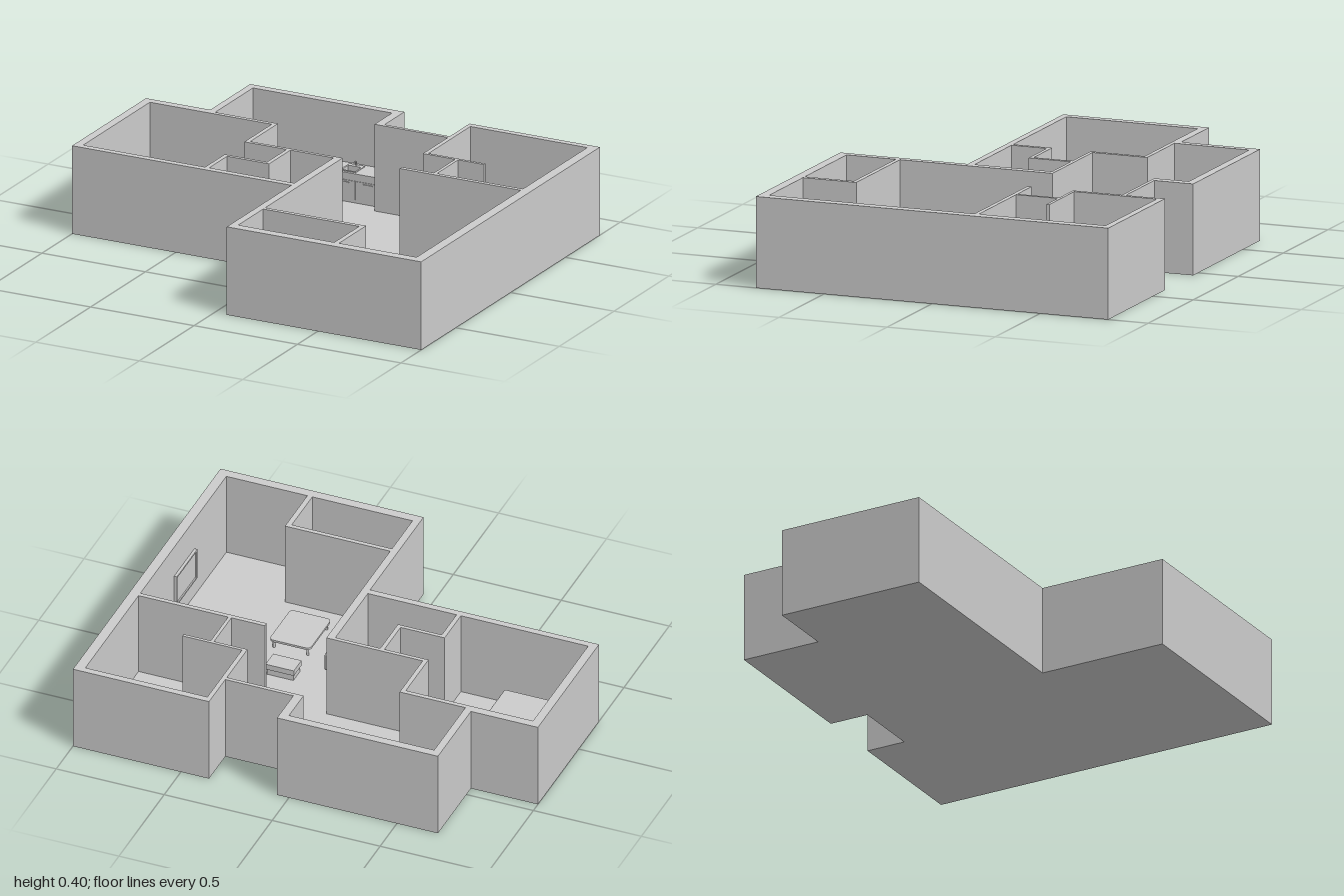
import * as THREE from 'three';
import { RoundedBoxGeometry } from 'three/addons/geometries/RoundedBoxGeometry.js';

const H = 0.4;        // wall height
const FLOOR = 0.006;  // floor thickness

export function createModel() {
  const root = new THREE.Group();
  root.name = 'apartment';
  const mat = new THREE.MeshStandardMaterial({ color: 0xcccccc });

  const group = (name) => {
    const g = new THREE.Group();
    g.name = name;
    root.add(g);
    return g;
  };
  const add = (parent, name, geo) => {
    const m = new THREE.Mesh(geo, mat);
    m.name = name;
    parent.add(m);
    return m;
  };
  // box given by its x, y and z ranges, optionally rounded
  const box = (parent, name, x0, x1, y0, y1, z0, z1, r = 0) => {
    const s = [x1 - x0, y1 - y0, z1 - z0];
    const geo = r ? new RoundedBoxGeometry(...s, 2, r) : new THREE.BoxGeometry(...s);
    const m = add(parent, name, geo);
    m.position.set((x0 + x1) / 2, (y0 + y1) / 2, (z0 + z1) / 2);
    return m;
  };
  // plan outline ([x, z] corners) extruded upwards; holes run the other way round
  const plan = (pts) => pts.map(([x, z]) => new THREE.Vector2(x, -z));
  const framed = (outline, hole) => {
    const shape = new THREE.Shape(plan(outline));
    shape.holes.push(new THREE.Path(plan(hole).reverse()));
    return shape;
  };
  const rise = (shape, depth) =>
    new THREE.ExtrudeGeometry(shape, { depth, bevelEnabled: false, curveSegments: 6 }).rotateX(-Math.PI / 2);

  // floor and outer wall ring
  const outer = [[-0.69, -0.815], [0.055, -0.815], [0.055, -0.635], [0.37, -0.635], [0.37, -0.815], [1, -0.815],
    [1, 0.815], [0.06, 0.815], [0.06, 0.225], [-1, 0.225], [-1, -0.45], [-0.69, -0.45]];
  const inner = [[-0.657, -0.778], [0.015, -0.778], [0.015, -0.618], [0.39, -0.618], [0.39, -0.785], [0.955, -0.785],
    [0.955, 0.772], [0.093, 0.772], [0.093, 0.195], [-0.962, 0.195], [-0.962, -0.413], [-0.657, -0.413]];
  add(root, 'floor', rise(new THREE.Shape(plan(outer)), FLOOR));
  add(root, 'outerWalls', rise(framed(outer, inner), H));

  // inner partitions: x range, z range
  const partitions = group('partitions');
  [
    [-0.657, -0.353, -0.433, -0.413],
    [-0.373, -0.353, -0.413, -0.163],
    [-0.353, 0.093, -0.18, -0.163],
    [0.058, 0.093, -0.163, 0.195],
    [-0.169, -0.15, -0.163, 0.032],
    [-0.373, -0.169, 0.015, 0.032],
    [-0.373, -0.353, 0.032, 0.195],
    [0.093, 0.58, 0.525, 0.545],
    [0.557, 0.58, 0.545, 0.772],
    [0.37, 0.39, -0.618, -0.39],
    [0.39, 0.665, -0.404, -0.39],
    [0.525, 0.54, -0.39, -0.198],
    [0.37, 0.955, -0.198, -0.178],
  ].forEach(([x0, x1, z0, z1], i) => box(partitions, `partition${i + 1}`, x0, x1, FLOOR, H, z0, z1));

  // pillow: a box whose thickness thins out towards its rim
  const pillow = (parent, x0, x1, y, z0, z1) => {
    const geo = new THREE.BoxGeometry(2, 2, 2, 10, 2, 10);
    const p = geo.attributes.position;
    for (let i = 0; i < p.count; i++) {
      const u = p.getX(i), v = p.getZ(i);
      const puff = 0.15 + 0.85 * Math.sqrt((1 - u ** 4) * (1 - v ** 4));
      p.setXYZ(i, u * (0.92 + 0.08 * v * v), p.getY(i) * puff, v * (0.92 + 0.08 * u * u));
    }
    geo.scale((x1 - x0) / 2, 0.014, (z1 - z0) / 2);
    geo.computeVertexNormals();
    add(parent, 'pillow', geo).position.set((x0 + x1) / 2, y, (z0 + z1) / 2);
  };

  // double bed, head against the -x wall
  const doubleBed = group('doubleBed');
  box(doubleBed, 'headboard', -0.962, -0.952, FLOOR, 0.145, -0.13, 0.172);
  box(doubleBed, 'frame', -0.952, -0.585, 0.015, 0.045, -0.128, 0.17);
  box(doubleBed, 'mattress', -0.952, -0.592, 0.045, 0.085, -0.122, 0.165, 0.01);
  box(doubleBed, 'blanket', -0.875, -0.585, 0.035, 0.092, -0.13, 0.172, 0.008);
  box(doubleBed, 'blanketFold', -0.88, -0.83, 0.06, 0.096, -0.138, 0.182, 0.008);
  pillow(doubleBed, -0.955, -0.878, 0.098, -0.107, 0.016);
  pillow(doubleBed, -0.955, -0.878, 0.098, 0.02, 0.143);

  // single bed, head against the back wall
  const singleBed = group('singleBed');
  box(singleBed, 'headboard', 0.412, 0.617, FLOOR, 0.145, -0.785, -0.773);
  box(singleBed, 'frame', 0.425, 0.615, 0.015, 0.045, -0.773, -0.455);
  box(singleBed, 'mattress', 0.427, 0.613, 0.045, 0.085, -0.773, -0.46, 0.01);
  box(singleBed, 'blanket', 0.424, 0.618, 0.035, 0.092, -0.7, -0.455, 0.008);
  box(singleBed, 'blanketFold', 0.412, 0.62, 0.06, 0.096, -0.702, -0.657, 0.008);
  pillow(singleBed, 0.458, 0.597, 0.098, -0.768, -0.695);

  // dressers: body, overhanging top and two rows of drawers facing +z
  const dresser = (name, x0, x1, z0, z1, h) => {
    const g = group(name);
    box(g, 'body', x0 + 0.003, x1 - 0.003, FLOOR, h - 0.008, z0, z1 - 0.005);
    box(g, 'top', x0, x1, h - 0.008, h, z0, z1);
    const w = (x1 - x0) / 2;
    for (let i = 0; i < 2; i++) {
      for (let j = 0; j < 2; j++) {
        const x = x0 + i * w, y = 0.014 + j * (h - 0.02) / 2;
        box(g, 'drawer', x + 0.007, x + w - 0.007, y, y + (h - 0.036) / 2, z1 - 0.005, z1 - 0.001);
      }
    }
  };
  dresser('bedroomDresser', -0.903, -0.653, -0.413, -0.318, 0.11);
  dresser('smallRoomDresser', 0.62, 0.868, -0.785, -0.69, 0.11);

  // kitchen counter with a sink cut into the worktop, tap and door handles
  const kitchen = group('kitchenCounter');
  const rect = (x0, x1, z0, z1) => [[x0, z0], [x1, z0], [x1, z1], [x0, z1]];
  box(kitchen, 'cabinets', -0.56, 0.015, FLOOR, 0.11, -0.778, -0.668);
  const worktop = framed(rect(-0.562, 0.015, -0.778, -0.663), rect(-0.178, -0.113, -0.742, -0.682));
  add(kitchen, 'worktop', rise(worktop, 0.03)).position.y = 0.11;
  const rim = framed(rect(-0.184, -0.107, -0.762, -0.676), rect(-0.176, -0.115, -0.74, -0.684));
  add(kitchen, 'sinkRim', rise(rim, 0.003)).position.y = 0.14;
  const tapPath = new THREE.CatmullRomCurve3([[0.14, -0.755], [0.158, -0.755], [0.163, -0.745], [0.157, -0.732]]
    .map(([y, z]) => new THREE.Vector3(-0.146, y, z)));
  add(kitchen, 'tap', new THREE.TubeGeometry(tapPath, 12, 0.003, 8));
  for (let i = 0; i < 5; i++) {
    const x = -0.554 + i * 0.114;
    box(kitchen, 'cabinetDoor', x, x + 0.108, 0.02, 0.105, -0.668, -0.665);
    box(kitchen, 'doorHandle', x + 0.03, x + 0.078, 0.094, 0.098, -0.665, -0.661);
  }

  // three-seat sofa facing +x
  const sofa = group('sofa');
  box(sofa, 'base', 0.097, 0.217, 0.015, 0.045, 0.12, 0.462);
  box(sofa, 'backrest', 0.094, 0.122, 0.015, 0.125, 0.114, 0.468, 0.006);
  for (const z of [0.112, 0.446]) box(sofa, 'armrest', 0.097, 0.225, 0.012, 0.092, z, z + 0.024, 0.006);
  for (let i = 0; i < 3; i++) {
    const z = 0.136 + i * 0.1037;
    box(sofa, 'seatCushion', 0.12, 0.225, 0.045, 0.07, z, z + 0.1025, 0.006);
    box(sofa, 'backCushion', 0.115, 0.14, 0.068, 0.12, z, z + 0.1025, 0.008);
  }
  for (const x of [0.107, 0.207]) {
    for (const z of [0.127, 0.455]) box(sofa, 'foot', x - 0.005, x + 0.005, FLOOR, 0.015, z - 0.005, z + 0.005);
  }

  // coffee table with rounded corners
  const table = group('coffeeTable');
  const top = new THREE.Shape();
  const [a, b, r] = [0.095, 0.12, 0.02];
  top.absarc(a - r, b - r, r, 0, Math.PI / 2);
  top.absarc(r - a, b - r, r, Math.PI / 2, Math.PI);
  top.absarc(r - a, r - b, r, Math.PI, 1.5 * Math.PI);
  top.absarc(a - r, r - b, r, 1.5 * Math.PI, 2 * Math.PI);
  add(table, 'tableTop', rise(top, 0.01)).position.set(0.415, 0.042, 0.3);
  for (const sx of [-1, 1]) {
    for (const sz of [-1, 1]) {
      add(table, 'tableLeg', new THREE.CylinderGeometry(0.006, 0.006, 0.042 - FLOOR, 10))
        .position.set(0.415 + sx * 0.078, (0.042 + FLOOR) / 2, 0.3 + sz * 0.103);
    }
  }

  // side table beside the sofa and low two-layer stool
  const side = group('sideTable');
  box(side, 'body', 0.108, 0.162, FLOOR, 0.06, 0.008, 0.093);
  box(side, 'top', 0.105, 0.165, 0.06, 0.068, 0.005, 0.096);
  const stool = group('stool');
  box(stool, 'base', 0.319, 0.442, FLOOR, 0.032, -0.005, 0.071);
  box(stool, 'cushion', 0.315, 0.446, 0.034, 0.06, -0.01, 0.075);
  box(stool, 'seam', 0.325, 0.436, 0.032, 0.034, 0, 0.065);

  // wall screen: panel with a raised frame
  const screen = group('wallScreen');
  box(screen, 'panel', 0.948, 0.955, 0.1, 0.25, 0.195, 0.42);
  for (const y of [0.1, 0.242]) box(screen, 'frameRail', 0.942, 0.948, y, y + 0.008, 0.195, 0.42);
  for (const z of [0.195, 0.412]) box(screen, 'frameStile', 0.942, 0.948, 0.108, 0.242, z, z + 0.008);

  return root;
}
